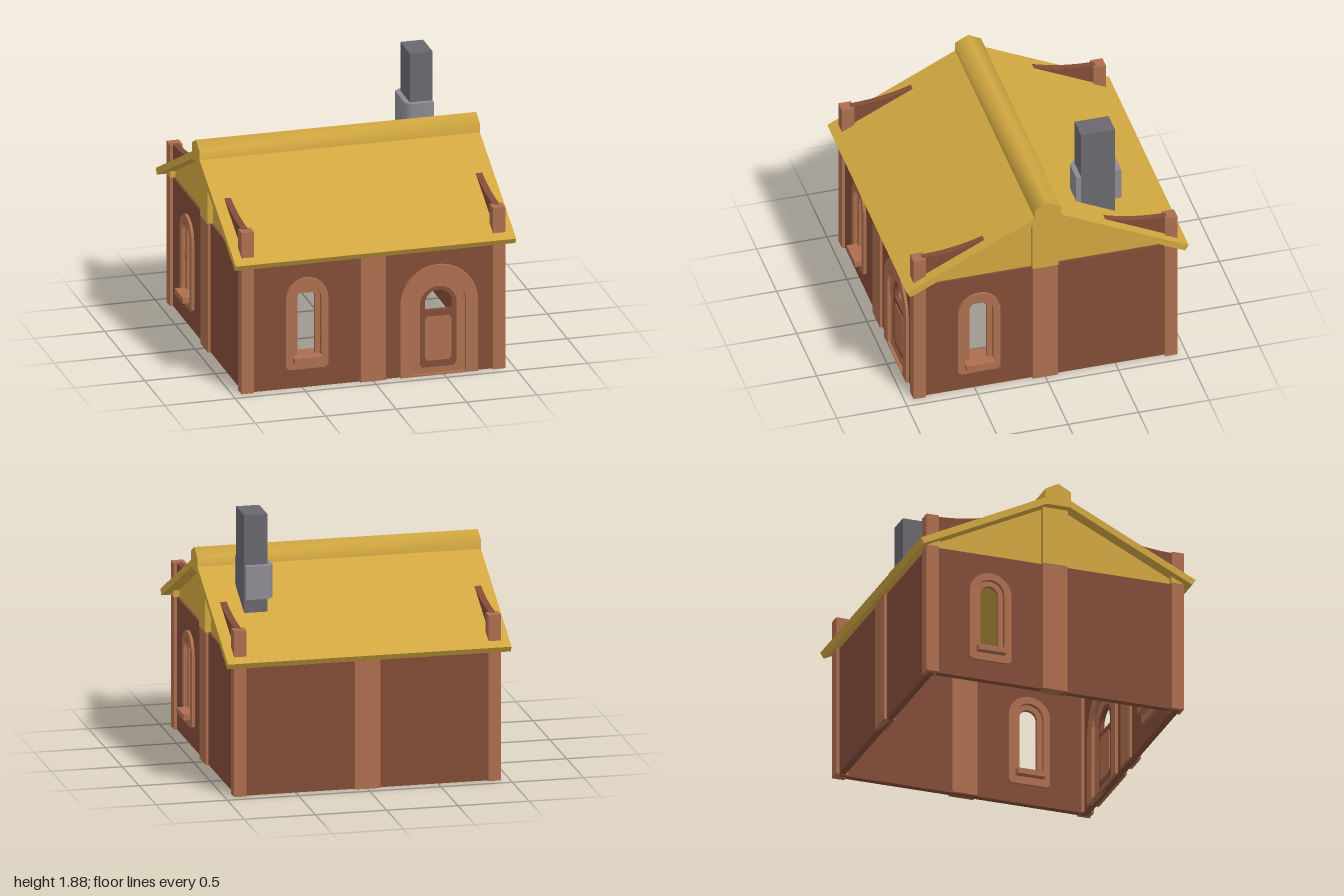
import * as THREE from 'three';
import { toCreasedNormals } from 'three/addons/utils/BufferGeometryUtils.js';

const material = (name, color) => {
  const m = new THREE.MeshStandardMaterial({ color });
  m.name = name;
  return m;
};

// Arched opening outline: straight sides, round top, optionally cut bottom corners
function arch(cx, half, y0, yc, cut = 0, Type = THREE.Shape) {
  const s = new Type();
  s.moveTo(cx - half + cut, y0);
  s.lineTo(cx + half - cut, y0);
  if (cut) s.lineTo(cx + half, y0 + cut);
  s.lineTo(cx + half, yc);
  s.absarc(cx, yc, half, 0, Math.PI, false);
  if (cut) s.lineTo(cx - half, y0 + cut);
  s.closePath();
  return s;
}

const polygon = (pts) => new THREE.Shape(pts.map(([a, b]) => new THREE.Vector2(a, b)));

// Extrusion centred on its depth
function slab(shape, depth, crease = 0.5) {
  const g = new THREE.ExtrudeGeometry(shape, { depth, bevelEnabled: false, curveSegments: 18 });
  g.translate(0, 0, -depth / 2);
  return toCreasedNormals(g, crease);
}

// Profile given as (z, y), run along x
const alongX = (pts, length, crease) => slab(polygon(pts), length, crease).rotateY(-Math.PI / 2);

export function createModel() {
  const wallMat = material('dark brick', 0x824c37);
  const trimMat = material('light brick', 0xac6e4f);
  const roofMat = material('yellow roof', 0xd0a640);
  const stackMat = material('dark stone', 0x6a686e);
  const collarMat = material('light stone', 0x8d8b91);

  const model = new THREE.Group();
  model.name = 'house';
  const add = (parent, name, geometry, mat, x = 0, y = 0, z = 0) => {
    const mesh = new THREE.Mesh(geometry, mat);
    mesh.name = name;
    mesh.position.set(x, y, z);
    parent.add(mesh);
    return mesh;
  };
  const box = (parent, name, mat, w, h, d, x, y, z) =>
    add(parent, name, new THREE.BoxGeometry(w, h, d), mat, x, y, z);

  const P = 0.8925; // distance of the wall centre plane
  const WX = -0.47; // window centre
  const DX = 0.467; // door centre

  function addWindow(wall) {
    const outer = arch(WX, 0.15, 0.14, 0.65, 0.02);
    outer.holes.push(arch(WX, 0.1, 0.2, 0.65, 0, THREE.Path));
    add(wall, 'windowSurround', slab(outer, 0.085), trimMat, 0, 0, P);
    const inner = arch(WX, 0.1, 0.2, 0.65);
    inner.holes.push(arch(WX, 0.063, 0.235, 0.65, 0, THREE.Path));
    add(wall, 'windowFrame', slab(inner, 0.03), trimMat, 0, 0, P);
    box(wall, 'windowSill', trimMat, 0.204, 0.04, 0.18, WX, 0.215, P);
  }

  function addDoor(wall) {
    const outer = arch(DX, 0.276, 0, 0.524);
    outer.holes.push(arch(DX, 0.19, 0.01, 0.52, 0, THREE.Path));
    add(wall, 'doorSurround', slab(outer, 0.085), trimMat, 0, 0, P);
    const inner = arch(DX, 0.19, 0.01, 0.52);
    inner.holes.push(arch(DX, 0.13, 0.05, 0.508, 0.02, THREE.Path));
    add(wall, 'doorFrame', slab(inner, 0.035), trimMat, 0, 0, P);
    const leaf = arch(DX, 0.13, 0.05, 0.508, 0.02);
    leaf.holes.push(arch(DX, 0.095, 0.465, 0.515, 0, THREE.Path));
    add(wall, 'doorLeaf', slab(leaf, 0.03), wallMat, 0, 0, P);
    const a = 0.095, c = 0.02;
    const panel = polygon([[-a + c, 0.1], [a - c, 0.1], [a, 0.1 + c], [a, 0.42 - c],
      [a - c, 0.42], [-a + c, 0.42], [-a, 0.42 - c], [-a, 0.1 + c]]);
    add(wall, 'doorPanel', slab(panel, 0.04), trimMat, DX, 0, P);
  }

  // Four walls, each built facing +z and then turned into place
  [
    ['frontWall', 0, true, true],
    ['leftWall', Math.PI / 2, true, false],
    ['backWall', Math.PI, false, false],
    ['rightWall', -Math.PI / 2, true, false],
  ].forEach(([name, angle, hasWindow, hasDoor]) => {
    const wall = new THREE.Group();
    wall.name = name;
    wall.rotation.y = angle;
    const shape = polygon([[-0.9, 0], [0.9, 0], [0.9, 0.94], [-0.9, 0.94]]);
    if (hasWindow) shape.holes.push(arch(WX, 0.1, 0.2, 0.65, 0, THREE.Path));
    if (hasDoor) shape.holes.push(arch(DX, 0.19, 0.01, 0.52, 0, THREE.Path));
    add(wall, 'wallPanel', slab(shape, 0.045), wallMat, 0, 0, P);
    box(wall, 'middlePillar', trimMat, 0.18, 0.94, 0.085, 0, 0.47, P);
    box(wall, 'cornerPillar', trimMat, 0.088, 1.175, 0.088, P, 0.5875, P);
    if (hasWindow) addWindow(wall);
    if (hasDoor) addDoor(wall);
    model.add(wall);
  });

  // Roof: sloping slab, gable core with flat ceiling, ridge cap
  add(model, 'roofSlab', alongX([[1, 0.96], [0, 1.455], [-1, 0.96], [-0.975, 0.92],
    [0, 1.402], [0.975, 0.92]], 1.99), roofMat);
  add(model, 'gable', alongX([[0.935, 0.94], [0, 1.402], [-0.935, 0.94]], 1.8), roofMat);
  add(model, 'ridgeCap', alongX([[0.092, 1.36], [0.092, 1.475], [0, 1.525],
    [-0.092, 1.475], [-0.092, 1.36]], 1.99, 1.2), roofMat);
  for (const s of [-1, 1]) {
    box(model, 'gablePost', roofMat, 0.05, 0.46, 0.184, s * 0.915, 1.17, 0);
    for (const t of [-1, 1])
      box(model, 'gableCorner', roofMat, 0.05, 0.05, 0.095, s * 0.915, 0.965, t * 0.8895);
  }

  // Curved parapets running from the corner pillars into the roof
  const curve = new THREE.Shape();
  curve.moveTo(0.87, 1.0);
  curve.lineTo(0.87, 1.175);
  curve.quadraticCurveTo(0.64, 1.175, 0.43, 1.245);
  curve.lineTo(0.43, 1.21);
  curve.closePath();
  const parapet = slab(curve, 0.046).rotateY(-Math.PI / 2);
  for (const angle of [0, Math.PI]) {
    const pair = new THREE.Group();
    pair.name = 'parapets';
    pair.rotation.y = angle;
    for (const s of [-1, 1]) add(pair, 'parapet', parapet, wallMat, s * P, 0, 0);
    model.add(pair);
  }

  // Chimney stack with a chamfered collar
  box(model, 'chimneyStack', stackMat, 0.162, 0.76, 0.24, 0.691, 1.5, -0.42);
  const collar = polygon([[0.77, 0.265], [0.77, 0.585], [0.615, 0.585], [0.575, 0.55],
    [0.575, 0.3], [0.615, 0.265]]);
  add(model, 'chimneyCollar', slab(collar, 0.235, 0.9).rotateX(-Math.PI / 2), collarMat, 0, 1.4075, 0);

  return model;
}
